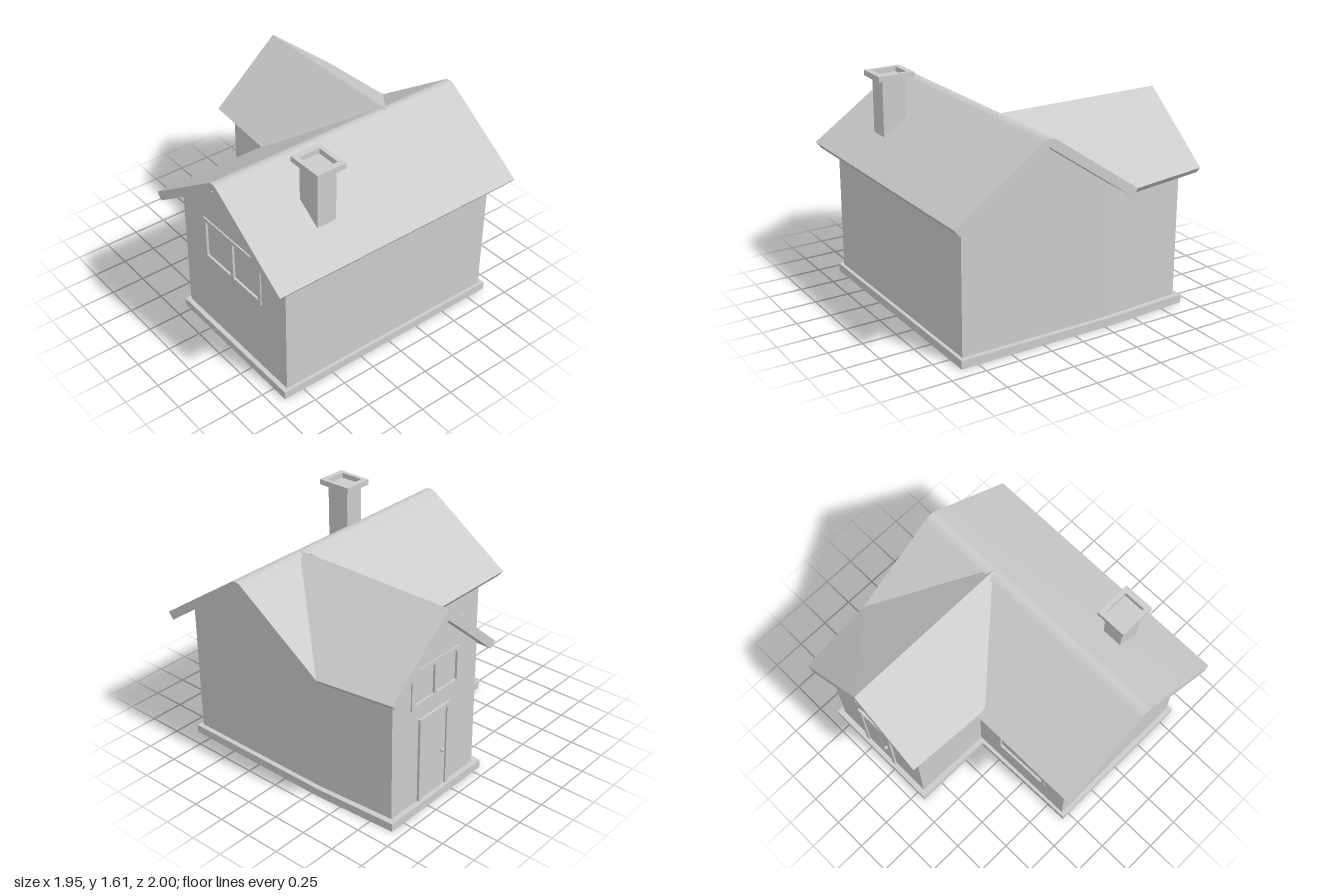
import * as THREE from 'three';
import { toCreasedNormals } from 'three/addons/utils/BufferGeometryUtils.js';

const grey = new THREE.MeshStandardMaterial({ color: 0xcccccc, side: THREE.DoubleSide });

function mesh(name, geometry) {
  const m = new THREE.Mesh(geometry, grey);
  m.name = name;
  return m;
}

function polygon(points, Type = THREE.Shape) {
  return new Type(points.map(([x, y]) => new THREE.Vector2(x, y)));
}

const rect = (x0, y0, x1, y1) => [[x0, y0], [x1, y0], [x1, y1], [x0, y1]];

// Plate with rectangular holes, spanning z0..z1
function plate(outline, holes, z0, z1) {
  const shape = polygon(outline);
  for (const h of holes) shape.holes.push(polygon(h, THREE.Path));
  const g = new THREE.ExtrudeGeometry(shape, { depth: z1 - z0, bevelEnabled: false });
  return g.translate(0, 0, z0);
}

// Sloped roof slab: top corners pushed down by an offset; first corner is the fan apex
function slab(name, corners, offset) {
  let top = corners.map(c => new THREE.Vector3(...c));
  const n = top[1].clone().sub(top[0]).cross(top[2].clone().sub(top[0]));
  if (n.y < 0) top = [top[0], ...top.slice(1).reverse()];
  const off = new THREE.Vector3(...offset);
  const low = top.map(p => p.clone().add(off));
  const tri = [];
  for (let i = 1; i < top.length - 1; i++) {
    tri.push(top[0], top[i], top[i + 1], low[0], low[i + 1], low[i]);
  }
  top.forEach((p, i) => {
    const j = (i + 1) % top.length;
    tri.push(p, low[i], low[j], p, low[j], top[j]);
  });
  const g = new THREE.BufferGeometry().setFromPoints(tri);
  g.computeVertexNormals();
  return mesh(name, g);
}

// Window in wall coordinates: frame, mullions and recessed glass
function windowUnit(name, [x0, y0, x1, y1], panes) {
  const group = new THREE.Group();
  group.name = name;
  const b = 0.03, w = (x1 - x0 - b * (panes + 1)) / panes, holes = [];
  for (let i = 0; i < panes; i++) {
    const s = x0 + b + i * (w + b);
    holes.push(rect(s, y0 + b, s + w, y1 - b));
  }
  group.add(mesh('windowFrame', plate(rect(x0, y0, x1, y1), holes, -0.03, 0.01)));
  group.add(mesh('windowGlass', plate(rect(x0 + 0.01, y0 + 0.01, x1 - 0.01, y1 - 0.01), [], -0.015, -0.007)));
  return group;
}

// Door in wall coordinates: frame, leaf and a knob on each face
function doorUnit([x0, y0, x1, y1]) {
  const group = new THREE.Group();
  group.name = 'door';
  const b = 0.03;
  const frame = [[x0, y0], [x0 + b, y0], [x0 + b, y1 - b], [x1 - b, y1 - b], [x1 - b, y0], [x1, y0], [x1, y1], [x0, y1]];
  group.add(mesh('doorFrame', plate(frame, [], -0.025, 0.018)));
  group.add(mesh('doorLeaf', plate(rect(x0 + b, y0, x1 - b, y1 - b), [], -0.012, 0.006)));
  for (const z of [0.015, -0.022]) {
    const knob = mesh('doorKnob', new THREE.SphereGeometry(0.015, 12, 8));
    knob.position.set(x1 - 0.065, 0.345, z);
    group.add(knob);
  }
  return group;
}

// Vertical wall from a to b (x, z), with an optional gable peak
function wall(name, a, b, eave, peak, openings = [], units = []) {
  const dx = b[0] - a[0], dz = b[1] - a[1], len = Math.hypot(dx, dz);
  const outline = [[0, 0.03], [len, 0.03], [len, eave]];
  if (peak) outline.push([len / 2, peak]);
  outline.push([0, eave]);
  const shape = polygon(outline);
  for (const o of openings) shape.holes.push(polygon(rect(...o), THREE.Path));
  const group = new THREE.Group();
  group.name = name;
  group.add(mesh(name + 'Panel', new THREE.ShapeGeometry(shape)), ...units);
  group.position.set(a[0], 0, a[1]);
  group.rotation.y = Math.atan2(-dz, dx);
  return group;
}

export function createModel() {
  const house = new THREE.Group();
  house.name = 'house';

  // Walls of the L-shaped plan, open underneath
  const front = [0.24, 0.61, 0.88, 0.95];
  const side = [0.18, 0.34, 0.64, 0.74];
  const gable = [0.18, 0.80, 0.67, 1.08];
  const door = [0.26, 0.06, 0.57, 0.70];
  house.add(
    wall('frontWall', [-0.29, 0.87], [0.85, 0.87], 1.02, 1.42, [front], [windowUnit('frontWindow', front, 2)]),
    wall('leftWall', [0.85, 0.87], [0.85, -0.87], 1.03),
    wall('backWall', [0.85, -0.87], [-0.29, -0.87], 1.02, 1.42),
    wall('wingBackWall', [-0.29, -0.87], [-0.89, -0.83], 1.04),
    wall('wingEndWall', [-0.89, -0.83], [-0.89, 0.03], 1.04, 1.41, [gable, door],
      [windowUnit('gableWindow', gable, 2), doorUnit(door)]),
    wall('wingFrontWall', [-0.89, 0.03], [-0.31, 0.05], 1.04),
    wall('rightWall', [-0.31, 0.05], [-0.29, 0.87], 1.03, 0, [side], [windowUnit('sideWindow', side, 1)])
  );

  // Plinth ring around the walls, its inner corner slightly raised
  const outer = [[-0.31, 0.905], [0.875, 0.905], [0.875, -0.905], [-0.31, -0.905], [-0.93, -0.87], [-0.93, 0.075], [-0.335, 0.085]];
  const inner = [[-0.27, 0.85], [0.83, 0.85], [0.83, -0.85], [-0.29, -0.85], [-0.87, -0.81], [-0.87, 0.01], [-0.29, 0.03]];
  const flip = pts => pts.map(([x, z]) => [x, -z]);
  const plinth = plate(flip(outer), [flip(inner)], 0, 0.06).rotateX(-Math.PI / 2);
  const pp = plinth.attributes.position;
  for (let i = 0; i < pp.count; i++) {
    if (Math.hypot(pp.getX(i) + 0.31, pp.getZ(i) - 0.06) < 0.06) pp.setY(i, pp.getY(i) + 0.035);
  }
  plinth.computeVertexNormals();
  house.add(mesh('plinth', plinth));

  // Main roof: rounded ridge with the left slope
  const profile = new THREE.Shape();
  profile.moveTo(0.93, 0.95);
  profile.lineTo(0.97, 1.0);
  profile.lineTo(0.33, 1.442);
  profile.quadraticCurveTo(0.28, 1.476, 0.23, 1.442);
  profile.lineTo(0.23, 1.375);
  profile.lineTo(0.28, 1.41);
  const ridge = new THREE.ExtrudeGeometry(profile, { depth: 2, bevelEnabled: false, curveSegments: 8 });
  house.add(mesh('mainRoof', toCreasedNormals(ridge.translate(0, 0, -1), 0.4)));

  // Main roof: right slope, cut along the valleys of the wing
  const onMain = ([x, z]) => [x, 1.0 + 0.69 * (x + 0.41), z];
  const mainDrop = [0.04, -0.05, 0];
  house.add(
    slab('mainRoofFrontSlope', [[-0.34, 0.14], [0.23, -0.36], [0.23, 1], [-0.41, 1], [-0.41, 0.14]].map(onMain), mainDrop),
    slab('mainRoofBackSlope', [[0.23, -0.45], [-0.41, -1], [0.23, -1]].map(onMain), mainDrop)
  );

  // Wing roof
  const ridgeEnd = [-0.98, 1.465, -0.4], ridgeIn = [0.29, 1.465, -0.4];
  house.add(
    slab('wingRoofFront', [ridgeEnd, [-0.98, 1.02, 0.11], [-0.34, 1.0, 0.14], ridgeIn], [0, -0.045, -0.04]),
    slab('wingRoofBack', [ridgeEnd, ridgeIn, [-0.40, 1.0, -1.0], [-0.98, 1.02, -0.945]], [0, -0.045, 0.04])
  );

  // Chimney: shaft cut to the roof slope, and an open cap
  const shaft = new THREE.BoxGeometry(0.18, 0.4, 0.15).translate(0.64, 1.375, 0.45);
  const sp = shaft.attributes.position;
  for (let i = 0; i < sp.count; i++) {
    if (sp.getY(i) < 1.3) sp.setY(i, 0.98 + (0.97 - sp.getX(i)) * 0.69);
  }
  const cap = plate(rect(-0.135, -0.113, 0.135, 0.113), [rect(-0.092, -0.08, 0.092, 0.08)], 0, 0.04);
  cap.rotateX(-Math.PI / 2).translate(0.64, 1.57, 0.448);
  house.add(mesh('chimneyShaft', shaft), mesh('chimneyCap', cap));

  return house;
}
